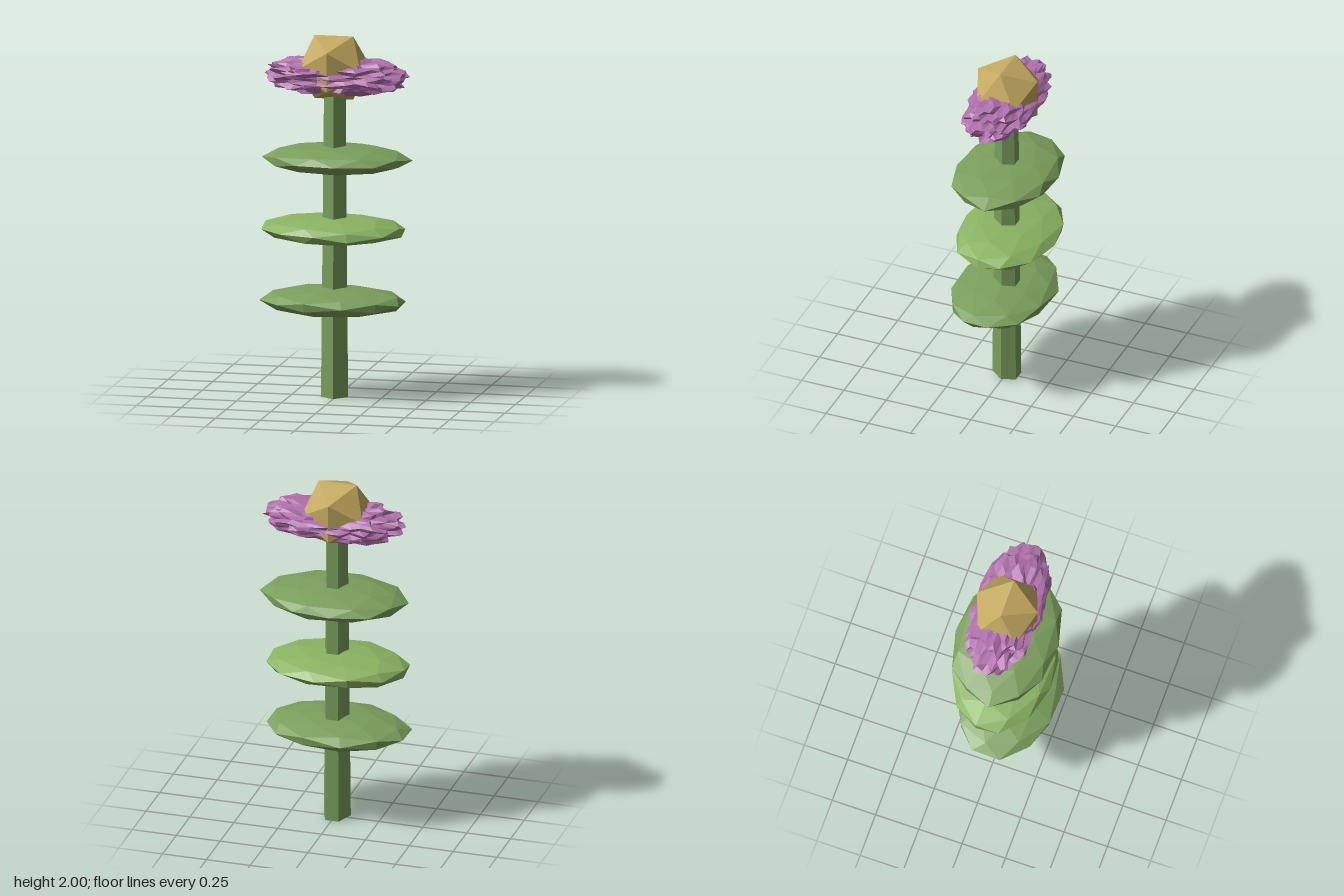
import * as THREE from 'three';

const mat = (color) => new THREE.MeshStandardMaterial({ color, flatShading: true });

// Repeatable 0..1 value for a position, so shared corners move together
function hash(x, y, z, seed) {
  const q = (v) => Math.round(v * 1000);
  const s = Math.sin(q(x) * 12.9898 + q(y) * 78.233 + q(z) * 37.719 + seed * 4.1) * 437.5853;
  return s - Math.floor(s);
}

// Faceted ball whose unit vertices are moved by a rule
function shapedBall(detail, rule) {
  const geo = new THREE.IcosahedronGeometry(1, detail);
  const p = geo.attributes.position;
  const v = new THREE.Vector3();
  for (let i = 0; i < p.count; i++) {
    rule(v.fromBufferAttribute(p, i));
    p.setXYZ(i, v.x, v.y, v.z);
  }
  geo.computeVertexNormals();
  return geo;
}

export function createModel() {
  const model = new THREE.Group();
  const add = (name, geo, color, x, y, z) => {
    const mesh = new THREE.Mesh(geo, mat(color));
    mesh.name = name;
    mesh.position.set(x, y, z);
    model.add(mesh);
  };

  // Stem: uneven five-sided post, tapering upwards
  const outline = [[0, 0.085], [0.066, 0.006], [0.035, -0.069], [-0.04, -0.069], [-0.08, 0.03]];
  const section = new THREE.Shape(outline.map(([x, z]) => new THREE.Vector2(x, -z)));
  const stem = new THREE.ExtrudeGeometry(section, { depth: 1.75, bevelEnabled: false });
  stem.rotateX(-Math.PI / 2);
  const p = stem.attributes.position;
  for (let i = 0; i < p.count; i++) {
    const k = 1 - 0.115 * p.getY(i);
    p.setXYZ(i, p.getX(i) * k, p.getY(i), p.getZ(i) * k);
  }
  stem.computeVertexNormals();
  add('stem', stem, 0x7a9e5c, 0, 0, 0);

  // Leaf tiers: flattened faceted discs, each turned differently
  const tiers = [
    { y: 0.535, x: -0.005, z: 0.022, turn: 0.25, color: 0x7b9f5c },
    { y: 0.925, x: -0.02, z: -0.012, turn: 0.9, color: 0x8ab362 },
    { y: 1.318, x: 0, z: -0.006, turn: 1.7, color: 0x7b9f5c },
  ];
  tiers.forEach(({ y, x, z, turn, color }, n) => {
    const up = new THREE.Vector3(0, 1, 0);
    const disc = shapedBall(1, (v) => {
      const r = 0.98 + 0.07 * hash(v.x, v.y, v.z, n);
      v.applyAxisAngle(up, turn).multiplyScalar(r);
      v.set(v.x * 0.4, v.y * 0.075, v.z * 0.28);
    });
    add('leafTier' + (n + 1), disc, color, x, y, z);
  });

  // Blossom: ragged flattened ball, wide along x
  const blossom = shapedBall(6, (v) => {
    const r = 0.83 + 0.25 * hash(v.x, v.y, v.z, 7);
    const x = Math.sign(v.x) * Math.pow(Math.abs(v.x), 0.8);
    v.set(x * r * 0.39, v.y * r * 0.107, v.z * r * 0.185);
    v.x = Math.max(v.x, -0.4);
  });
  add('blossom', blossom, 0xb070ac, 0, 1.78, 0);

  // Flower centre
  add('flowerCentre', new THREE.IcosahedronGeometry(0.206, 0), 0xc4a95f, -0.015, 1.825, 0);

  return model;
}
